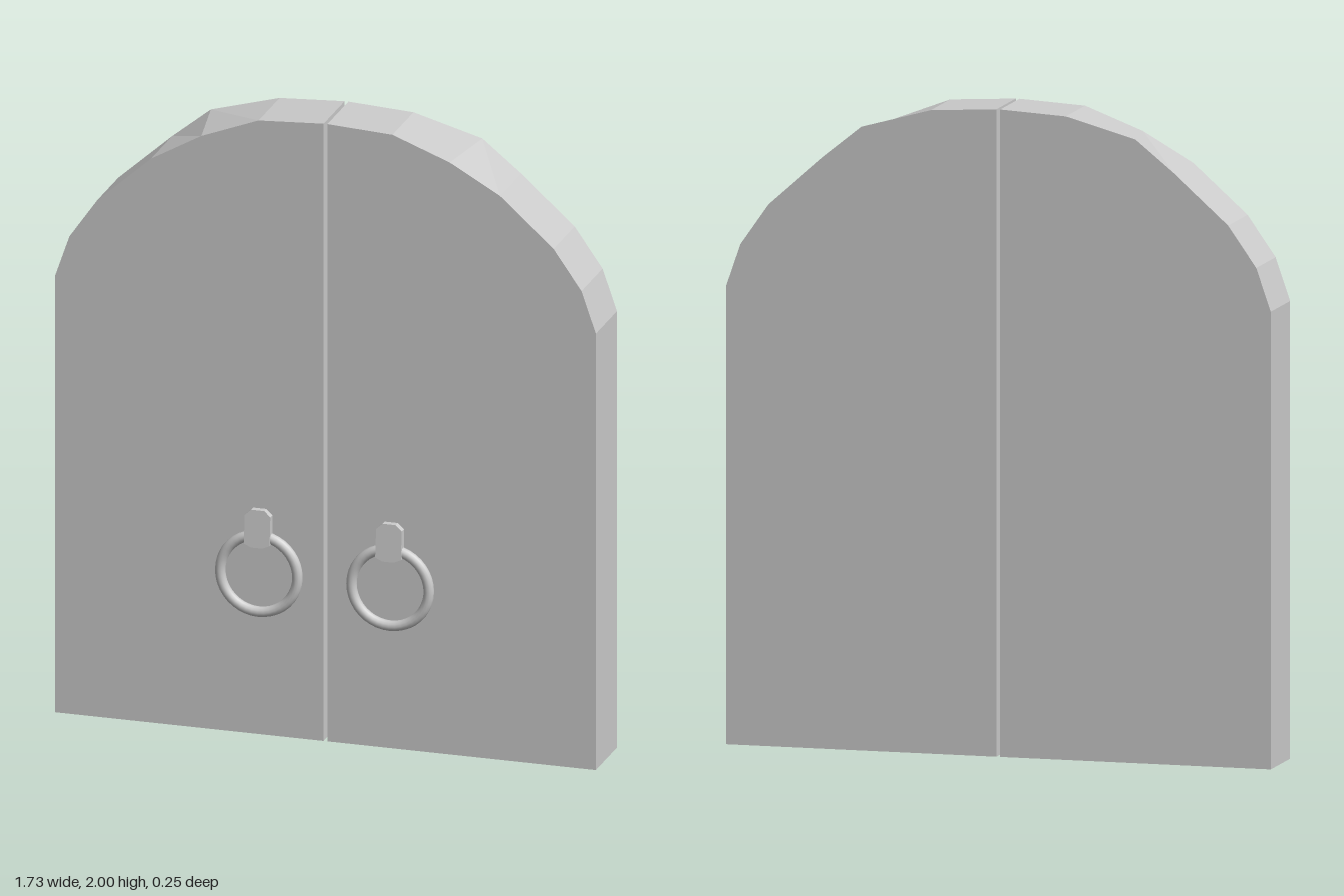
import * as THREE from 'three';

const grey = new THREE.MeshStandardMaterial({ color: 0xcccccc });
const flat = new THREE.MeshStandardMaterial({ color: 0xcccccc, flatShading: true });

const BACK = -0.123, FRONT = 0.09; // door faces along z

function extrude(points, depth) {
  const shape = new THREE.Shape(points.map(([x, y]) => new THREE.Vector2(x, y)));
  return new THREE.ExtrudeGeometry(shape, { depth, bevelEnabled: false });
}

function add(parent, name, geometry, material) {
  const mesh = new THREE.Mesh(geometry, material);
  mesh.name = name;
  parent.add(mesh);
  return mesh;
}

// One half of the arched door; side is +1 (left) or -1 (right)
function doorLeaf(side) {
  const outline = [
    [0.006, 0], [0.865, 0], [0.865, 1.414], [0.819, 1.547], [0.73, 1.674],
    [0.558, 1.827], [0.434, 1.927], [0.214, 1.988], [0.006, 2],
  ].map(([x, y]) => [x * side, y]);
  const geo = extrude(outline, FRONT - BACK);
  geo.translate(0, 0, BACK);
  // One arch corner sits lower and further in on the front face
  const pos = geo.attributes.position;
  for (let i = 0; i < pos.count; i++) {
    if (pos.getZ(i) > 0 && Math.abs(pos.getY(i) - 1.927) < 0.001) {
      pos.setXY(i, 0.397 * side, 1.918);
    }
  }
  geo.computeVertexNormals();
  return geo;
}

// Strap that holds the ring: narrow at the top, leaning outward at the bottom
function strap() {
  const geo = extrude([
    [-0.041, 0.624], [-0.018, 0.614], [0.018, 0.614], [0.041, 0.624],
    [0.041, 0.714], [0.021, 0.732], [-0.021, 0.732], [-0.041, 0.714],
  ], 1);
  const pos = geo.attributes.position;
  for (let i = 0; i < pos.count; i++) {
    const t = (0.732 - pos.getY(i)) / 0.118;
    pos.setZ(i, pos.getZ(i) > 0.5 ? 0.111 + 0.012 * t : 0.085);
  }
  geo.computeVertexNormals();
  return geo;
}

export function createModel() {
  const model = new THREE.Group();
  model.name = 'archedDoubleDoor';

  for (const side of [1, -1]) {
    const label = side > 0 ? 'left' : 'right';
    add(model, label + 'DoorLeaf', doorLeaf(side), flat);

    // Ring handle
    const handle = new THREE.Group();
    handle.name = label + 'Handle';
    handle.position.x = 0.21 * side;
    const ring = add(handle, 'ring', new THREE.TorusGeometry(0.1235, 0.0165, 12, 40), grey);
    ring.position.set(0, 0.524, 0.1);
    add(handle, 'strap', strap(), flat);
    model.add(handle);
  }
  return model;
}
